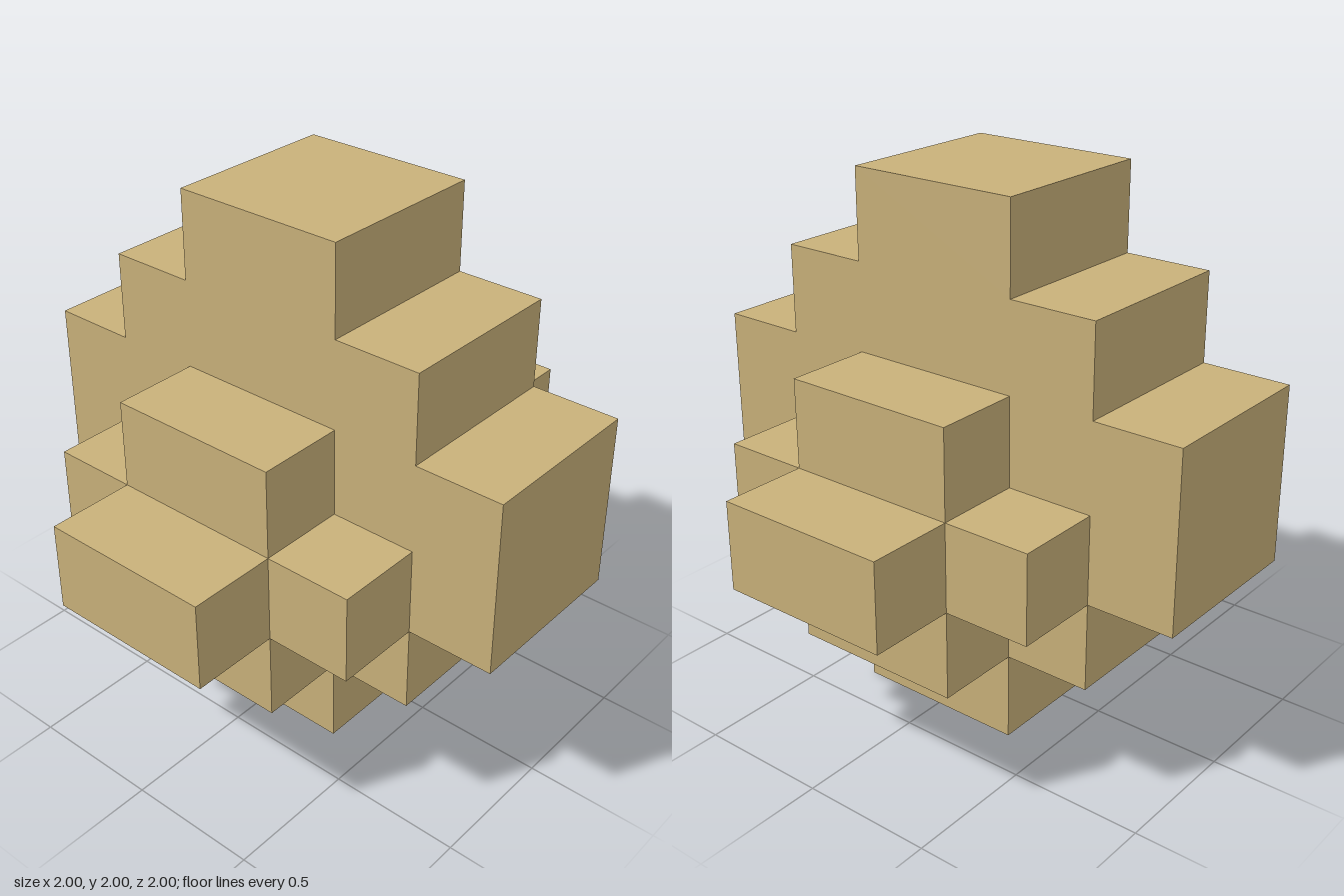
import * as THREE from 'three';

const U = 1 / 3; // size of one cube step

export function createModel() {
  const group = new THREE.Group();
  group.name = 'steppedBlock';
  const tan = new THREE.MeshStandardMaterial({ color: 0xc9b17a });
  tan.name = 'tan';

  // Central slab: stepped outline running front to back, two steps wide
  const half = [[1, 0], [1, 1], [2, 1], [2, 2], [3, 2], [3, 4], [2, 4], [2, 5], [1, 5], [1, 6]];
  const mirrored = half.map(([z, y]) => [-z, y]).reverse();
  const outline = [...half, ...mirrored].map(([z, y]) => new THREE.Vector2(z * U, y * U));
  const slabGeometry = new THREE.ExtrudeGeometry(new THREE.Shape(outline), { depth: 2 * U, bevelEnabled: false });
  slabGeometry.translate(0, 0, -U).rotateY(Math.PI / 2);
  const slab = new THREE.Mesh(slabGeometry, tan);
  slab.name = 'centralSlab';
  group.add(slab);

  // Box from x = 1 outward on one side, in steps: outer x, y range, half depth
  const addBlock = (name, side, x, y0, y1, z) => {
    const block = new THREE.Mesh(new THREE.BoxGeometry((x - 1) * U, (y1 - y0) * U, 2 * z * U), tan);
    block.position.set(side * (x + 1) / 2 * U, (y0 + y1) / 2 * U, 0);
    block.name = name;
    group.add(block);
  };

  // Side blocks, mirrored left and right
  for (const [label, side] of [['left', 1], ['right', -1]]) {
    addBlock(label + 'Riser', side, 2, 1, 4, 1);
    addBlock(label + 'Crossbar', side, 2, 2, 3, 2);
    addBlock(label + 'Arm', side, 3, 2, 3, 1);
  }
  return group;
}
